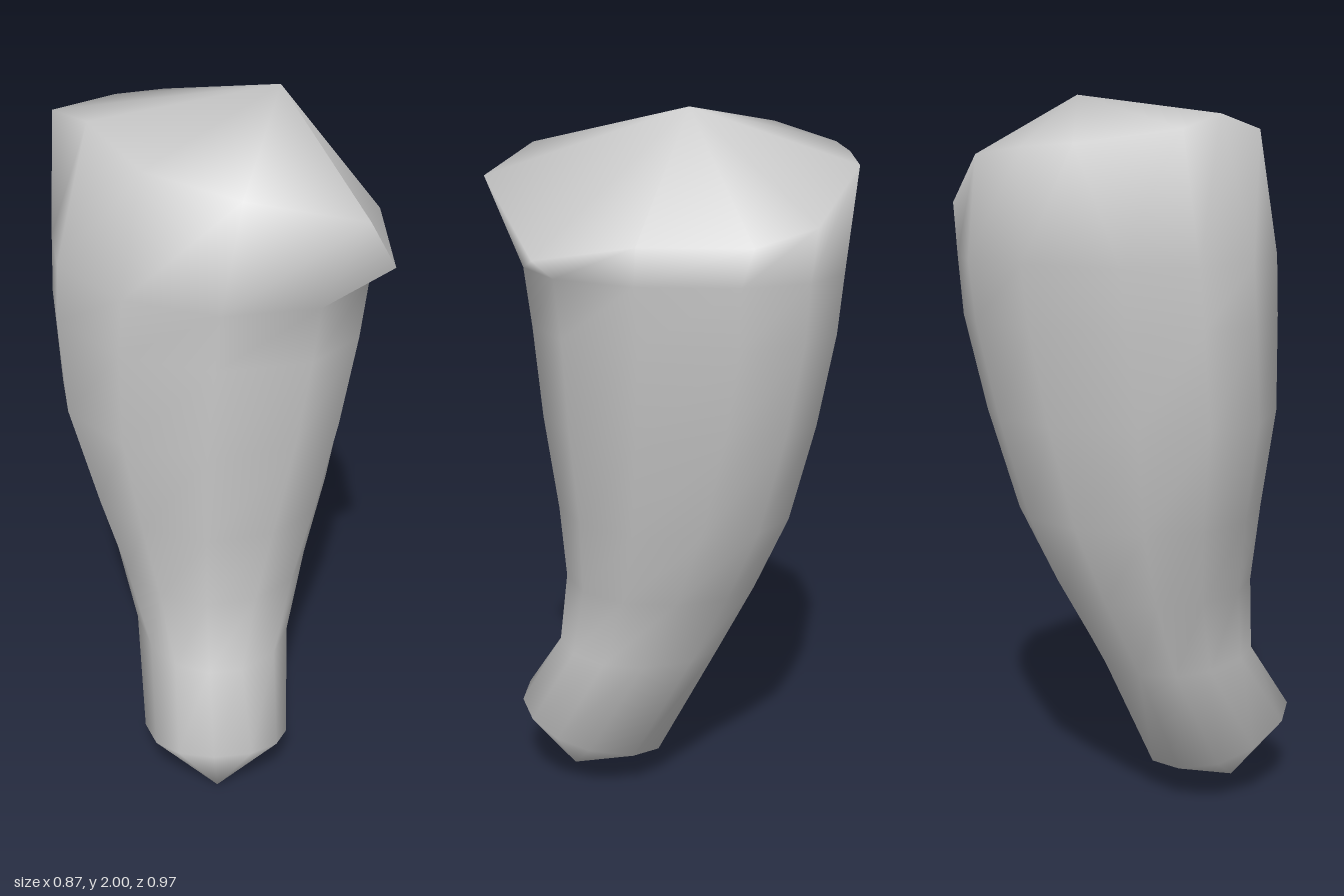
import * as THREE from 'three';
import { mergeVertices } from 'three/addons/utils/BufferGeometryUtils.js';

const SIDES = 12;

// Closed ring made of four quarter ellipses meeting at the widest lines cx and cz;
// the rear half is slightly squarer than the front
function ring({ y, x, z, cx, cz, tiltX = 0, tiltZ = 0 }) {
  return Array.from({ length: SIDES }, (_, i) => {
    const a = (i / SIDES) * Math.PI * 2;
    const power = Math.sin(a) < 0 ? 0.88 : 1;
    const [c, s] = [Math.cos(a), Math.sin(a)].map((v) => Math.sign(v) * Math.abs(v) ** power);
    const px = cx + c * (c > 0 ? x[1] - cx : cx - x[0]);
    const pz = cz + s * (s > 0 ? z[1] - cz : cz - z[0]);
    return [px, y + tiltX * (px - cx) + tiltZ * (pz - cz), pz];
  });
}

// Ring collapsed to one point, closing an end
const tip = (x, y, z) => Array.from({ length: SIDES }, () => [x, y, z]);

// Skin a stack of rings, bottom to top, leaving out the empty triangles at the tips
function loft(rings) {
  const index = [];
  for (let j = 0; j < rings.length - 1; j++) {
    for (let i = 0; i < SIDES; i++) {
      const a = j * SIDES + i, b = j * SIDES + ((i + 1) % SIDES);
      const c = a + SIDES, d = b + SIDES;
      if (j > 0) index.push(a, c, b);
      if (j < rings.length - 2) index.push(b, c, d);
    }
  }
  const geo = new THREE.BufferGeometry();
  geo.setAttribute('position', new THREE.Float32BufferAttribute(rings.flat(2), 3));
  geo.setIndex(index);
  const merged = mergeVertices(geo, 1e-4);
  merged.computeVertexNormals();
  return merged;
}

export function createModel() {
  // Slanting upper rim: pointed in front, low on the left, high on the right
  const rim = [
    [0.43, 1.68, -0.17], [0.385, 1.68, 0.12], [0.28, 1.635, 0.37], [0.13, 1.83, 0.48],
    [-0.14, 1.885, 0.345], [-0.3, 1.91, 0.13], [-0.325, 1.95, -0.14], [-0.335, 1.915, -0.35],
    [-0.1, 1.88, -0.48], [0.05, 1.87, -0.485], [0.19, 1.85, -0.48], [0.37, 1.72, -0.34],
  ];

  const rings = [
    tip(-0.17, 0, 0.26),
    // rounded end
    ring({ y: 0.18, x: [-0.35, 0.05], z: [-0.01, 0.415], cx: -0.14, cz: 0.23, tiltX: -0.16, tiltZ: 0.3 }),
    // shaft, widening and leaning back as it rises
    ring({ y: 0.44, x: [-0.29, 0.125], z: [-0.18, 0.3], cx: -0.11, cz: 0.08 }),
    ring({ y: 0.66, x: [-0.32, 0.21], z: [-0.275, 0.28], cx: -0.06, cz: 0 }),
    ring({ y: 0.88, x: [-0.37, 0.29], z: [-0.36, 0.3], cx: -0.02, cz: -0.06 }),
    ring({ y: 1.16, x: [-0.43, 0.355], z: [-0.42, 0.34], cx: 0.02, cz: -0.11 }),
    ring({ y: 1.42, x: [-0.435, 0.405], z: [-0.46, 0.365], cx: 0.05, cz: -0.14 }),
    ring({ y: 1.58, x: [-0.425, 0.415], z: [-0.475, 0.385], cx: 0.06, cz: -0.14 }),
    rim,
    tip(0.17, 2, -0.04),
  ];

  const limb = new THREE.Mesh(loft(rings), new THREE.MeshStandardMaterial({ color: 0xcccccc }));
  limb.name = 'lowerLimb';
  const group = new THREE.Group();
  group.name = 'limbSegment';
  group.add(limb);
  return group;
}
